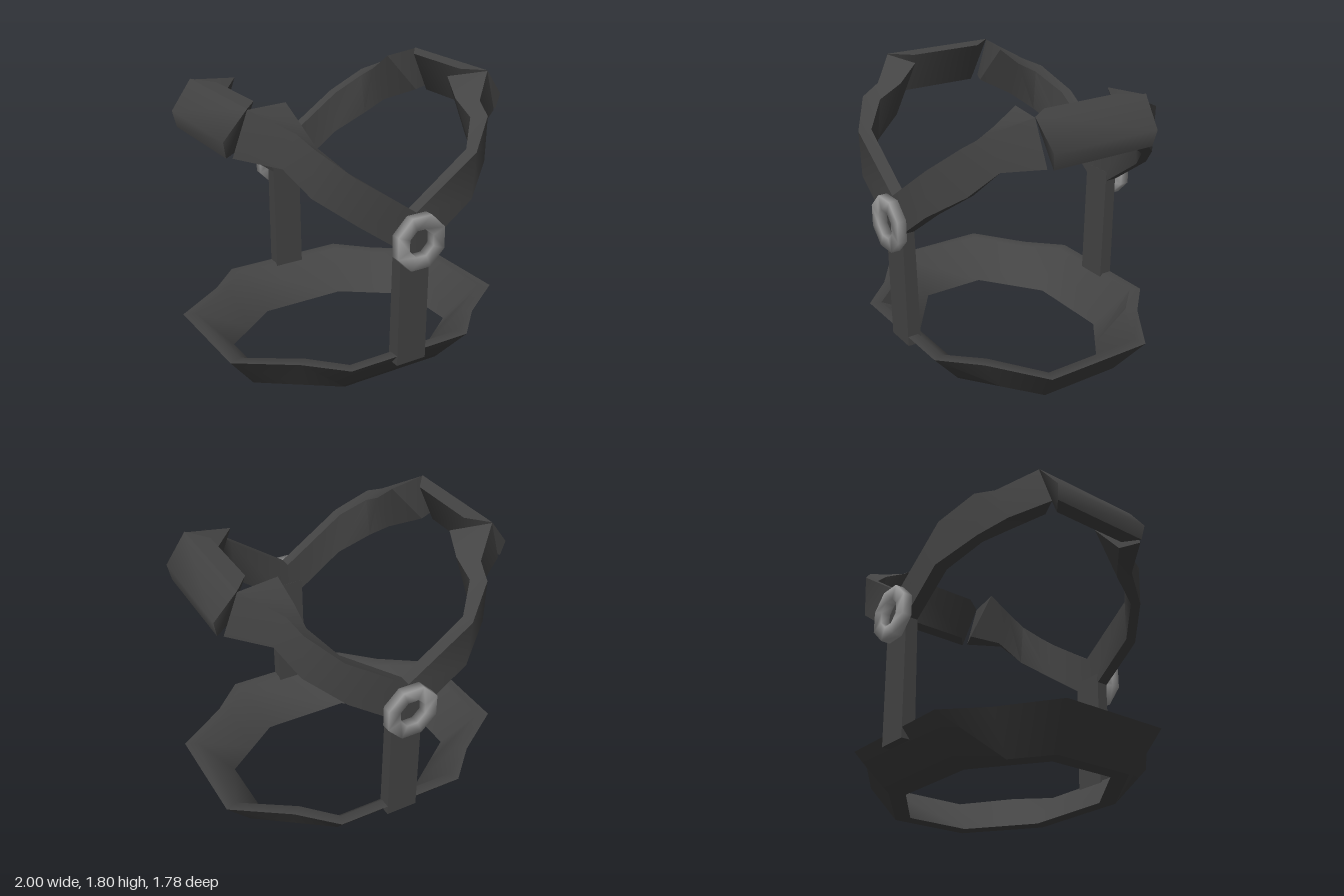
import * as THREE from 'three';
import { toCreasedNormals } from 'three/addons/utils/BufferGeometryUtils.js';

const strapMat = new THREE.MeshStandardMaterial({ color: 0x444444 });
const ringMat = new THREE.MeshStandardMaterial({ color: 0x999999 });

// Joins cross-sections (arrays of [x, y, z]) into a skin, closed as a loop or capped at both ends.
function loft(sections, closed, crease = 0.9) {
  const n = sections[0].length, m = sections.length, p = sections.flat(), idx = [];
  for (let i = 0; i < (closed ? m : m - 1); i++) {
    const k = (i + 1) % m;
    for (let j = 0; j < n; j++) {
      const l = (j + 1) % n;
      const a = i * n + j, b = i * n + l, c = k * n + l, d = k * n + j;
      idx.push(a, b, c, a, c, d);
    }
  }
  if (!closed) {
    const e = (m - 1) * n;
    for (let j = 1; j < n - 1; j++) idx.push(0, j + 1, j, e, e + j, e + j + 1);
  }
  // turn the skin outward if its enclosed volume is negative
  let volume = 0;
  const v = p.map(q => new THREE.Vector3(...q));
  for (let i = 0; i < idx.length; i += 3) {
    volume += v[idx[i]].dot(v[idx[i + 1]].clone().cross(v[idx[i + 2]]));
  }
  if (volume < 0) idx.reverse();
  const g = new THREE.BufferGeometry();
  g.setAttribute('position', new THREE.Float32BufferAttribute(p.flat(), 3));
  g.setIndex(idx);
  g.computeVertexNormals();
  return crease ? toCreasedNormals(g, crease) : g;
}

const mirror = (sections, sx, sz) => sections.map(s => s.map(([x, y, z]) => [sx * x, y, sz * z]));

export function createModel() {
  const group = new THREE.Group();
  const add = (name, geometry, material = strapMat) => {
    const mesh = new THREE.Mesh(geometry, material);
    mesh.name = name;
    group.add(mesh);
  };

  // lower girth band: flared loop, one quarter of sections mirrored around
  const quarter = [
    [[0.81, 0, 0.27], [1.0, 0.245, 0.36], [0.925, 0.245, 0.33], [0.71, 0, 0.22]],
    [[0.58, 0, 0.44], [0.65, 0.245, 0.6], [0.59, 0.245, 0.55], [0.505, 0, 0.37]],
    [[0.35, 0, 0.61], [0.43, 0.245, 0.82], [0.4, 0.245, 0.75], [0.3, 0, 0.52]],
  ];
  const back = [...quarter].reverse();
  add('girthBand', loft([
    ...quarter, ...mirror(back, -1, 1), ...mirror(quarter, -1, -1), ...mirror(back, 1, -1),
  ], true));

  // shoulder strap: rises from the ring and twists into the side piece
  const shoulder = [
    [[0, 1.17, 0.83], [0, 0.88, 0.83], [0, 0.88, 0.75], [0, 1.17, 0.75]],
    [[0.42, 1.46, 0.83], [0.4, 1.17, 0.83], [0.4, 1.17, 0.745], [0.41, 1.46, 0.745]],
    [[0.6, 1.62, 0.7], [0.61, 1.33, 0.68], [0.58, 1.32, 0.62], [0.54, 1.6, 0.61]],
    [[0.64, 1.68, 0.57], [0.7, 1.47, 0.52], [0.63, 1.45, 0.45], [0.54, 1.68, 0.46]],
    [[0.84, 1.8, 0.39], [0.93, 1.53, 0.37], [0.8, 1.53, 0.31], [0.57, 1.79, 0.33]],
  ];
  // side piece: straight, leaning band between front and back straps
  const sideEnd = [
    [0.84, 1.805, 0.39], [0.98, 1.63, 0.365], [0.96, 1.53, 0.35], [0.86, 1.53, 0.27], [0.73, 1.8, 0.25],
  ];
  for (const sx of [1, -1]) {
    const side = sx > 0 ? 'left' : 'right';
    for (const sz of [1, -1]) {
      add(side + (sz > 0 ? 'Front' : 'Back') + 'ShoulderStrap', loft(mirror(shoulder, sx, sz), false));
    }
    add(side + 'SidePiece', loft([...mirror([sideEnd], sx, 1), ...mirror([sideEnd], sx, -1)], false));
  }

  // upright straps and octagonal rings, front and back
  const upright = [
    [[-0.104, 0.18, 0.82], [0.104, 0.18, 0.82], [0.104, 0.18, 0.73], [-0.104, 0.18, 0.73]],
    [[-0.104, 1.02, 0.828], [0.104, 1.02, 0.828], [0.104, 1.02, 0.748], [-0.104, 1.02, 0.748]],
  ];
  const ring = [];
  for (let i = 0; i < 8; i++) {
    const a = (i + 0.5) * Math.PI / 4, c = Math.cos(a), s = Math.sin(a);
    ring.push([[0.178, 0.83], [0.178, 0.89], [0.09, 0.89], [0.09, 0.83]]
      .map(([r, z]) => [r * c, 1 + r * s, z]));
  }
  for (const sz of [1, -1]) {
    const end = sz > 0 ? 'front' : 'back';
    add(end + 'UprightStrap', loft(mirror(upright, 1, sz), false));
    add(end + 'Ring', loft(mirror(ring, 1, sz), true, 0), ringMat);
  }
  return group;
}
